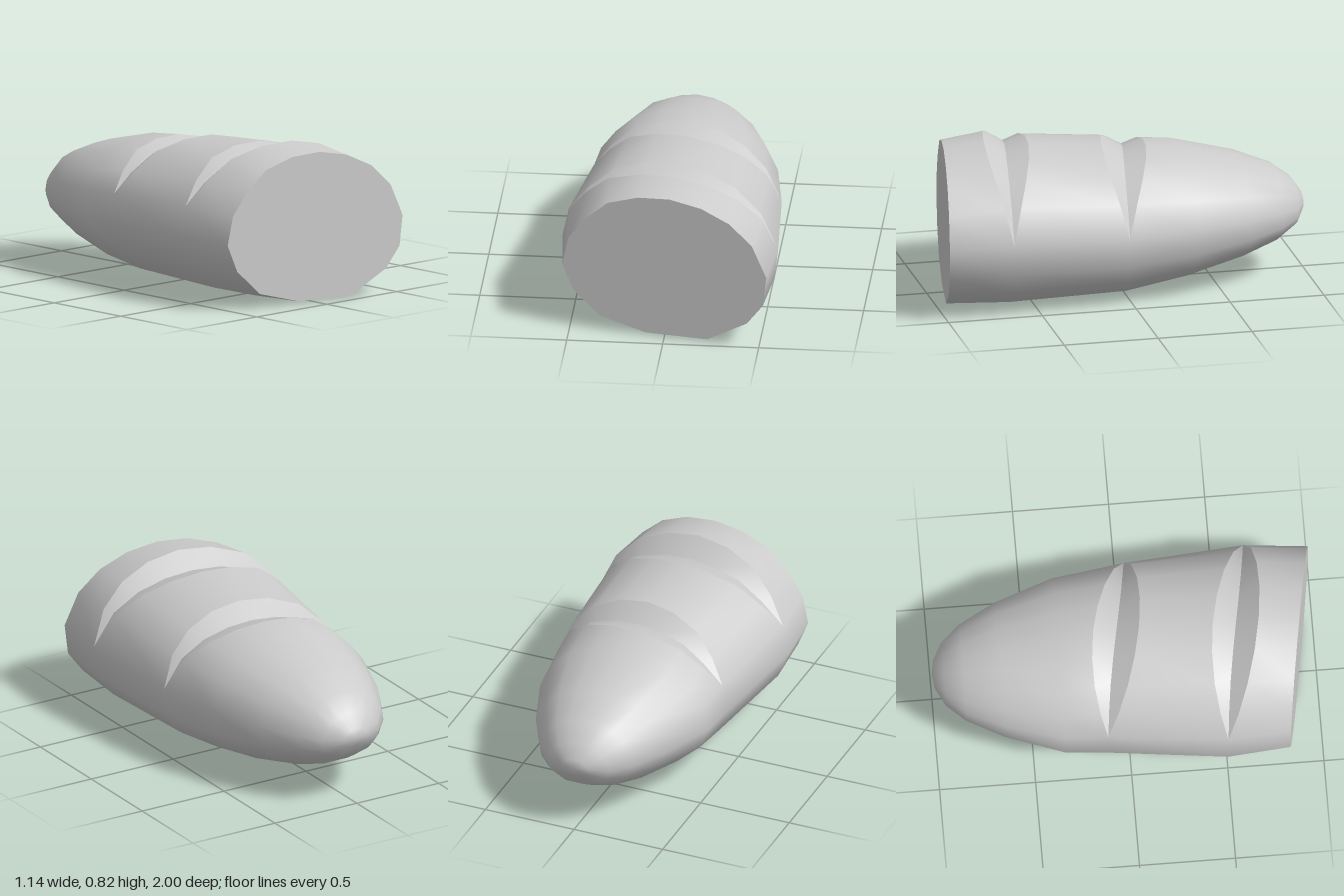
import * as THREE from 'three';
import { mergeVertices } from 'three/addons/utils/BufferGeometryUtils.js';

// Unit cross-section, counter-clockwise seen from the front; points 0-8 span the upper side.
const SECTION = [
  [1, 0], [0.86, 0.44], [0.64, 0.73], [0.36, 0.915], [0.05, 1], [-0.26, 0.976], [-0.56, 0.846], [-0.78, 0.57],
  [-0.94, 0.27], [-1, -0.12], [-0.89, -0.49], [-0.63, -0.83], [-0.18, -1], [0.42, -1], [0.81, -0.7], [0.965, -0.415],
];
const N = SECTION.length;
const SCORED = 8; // the cuts run over this many section edges

// One loop of the loaf; cut = { offset, scale } bends the upper side to form a score line.
function ring({ z, slant = 0, x = 0, width, bottom, top }, cut = { offset: 0, scale: 1 }) {
  const cy = (top + bottom) / 2, h = (top - bottom) / 2;
  return SECTION.map(([u, v], i) => {
    const bulge = i < SCORED ? Math.sin((Math.PI * i) / SCORED) : 0;
    const s = 1 + (cut.scale - 1) * bulge;
    const px = x + u * width;
    return new THREE.Vector3(x + u * width * s, cy + v * h * s, z + slant * px + cut.offset * bulge);
  });
}

// Triangles between two loops, over the first `count` edges.
function strip(a, b, count = N) {
  const out = [];
  for (let i = 0; i < count; i++) {
    const j = (i + 1) % N;
    out.push(a[i], b[i], a[j], a[j], b[i], b[j]);
  }
  return out;
}

function fan(loop, centre, flip) {
  return loop.flatMap((p, i) => {
    const q = loop[(i + 1) % N];
    return flip ? [centre, q, p] : [centre, p, q];
  });
}

function smoothGeometry(points) {
  const g = mergeVertices(new THREE.BufferGeometry().setFromPoints(points), 1e-5);
  g.computeVertexNormals();
  return g;
}

export function createModel() {
  const group = new THREE.Group();
  const material = new THREE.MeshStandardMaterial({ color: 0xcccccc });
  const add = (name, points) => {
    const mesh = new THREE.Mesh(smoothGeometry(points), material);
    mesh.name = name;
    group.add(mesh);
  };

  // Stations from the cut face to the rounded end
  const face = ring({ z: 0.912, slant: 0.166, width: 0.54, bottom: 0.013, top: 0.79 });
  const scores = [
    { z: 0.58, slant: 0.148, width: 0.57, bottom: 0, top: 0.82 },
    { z: -0.045, slant: 0.16, x: 0.02, width: 0.51, bottom: 0.013, top: 0.762 },
  ].map((s) => ({
    front: ring(s, { offset: 0.12, scale: 1 }),
    valley: ring(s, { offset: 0, scale: 0.82 }),
    back: ring(s, { offset: -0.12, scale: 0.915 }),
  }));
  const end = [
    [-0.34, 0.475, 0.06, 0.715],
    [-0.65, 0.365, 0.13, 0.64],
    [-0.84, 0.262, 0.19, 0.565],
    [-0.94, 0.172, 0.25, 0.49],
    [-0.99, 0.075, 0.325, 0.415],
  ].map(([z, width, bottom, top]) => ring({ z, width, bottom, top }));

  // Crust, left open where the cuts are
  const crust = [];
  let last = face;
  for (const s of scores) {
    crust.push(...strip(last, s.front));
    last = s.back;
  }
  for (const r of end) {
    crust.push(...strip(last, r));
    last = r;
  }
  crust.push(...fan(last, new THREE.Vector3(0, 0.37, -1), true));
  add('crust', crust);

  // Sliced flat face
  add('slicedFace', fan(face, new THREE.Vector3(0, 0.4, 0.912), false));

  // Two walls for each slanted score
  scores.forEach((s, k) => {
    add(`scoreFrontWall${k + 1}`, strip(s.front, s.valley, SCORED));
    add(`scoreBackWall${k + 1}`, strip(s.valley, s.back, SCORED));
  });
  return group;
}
